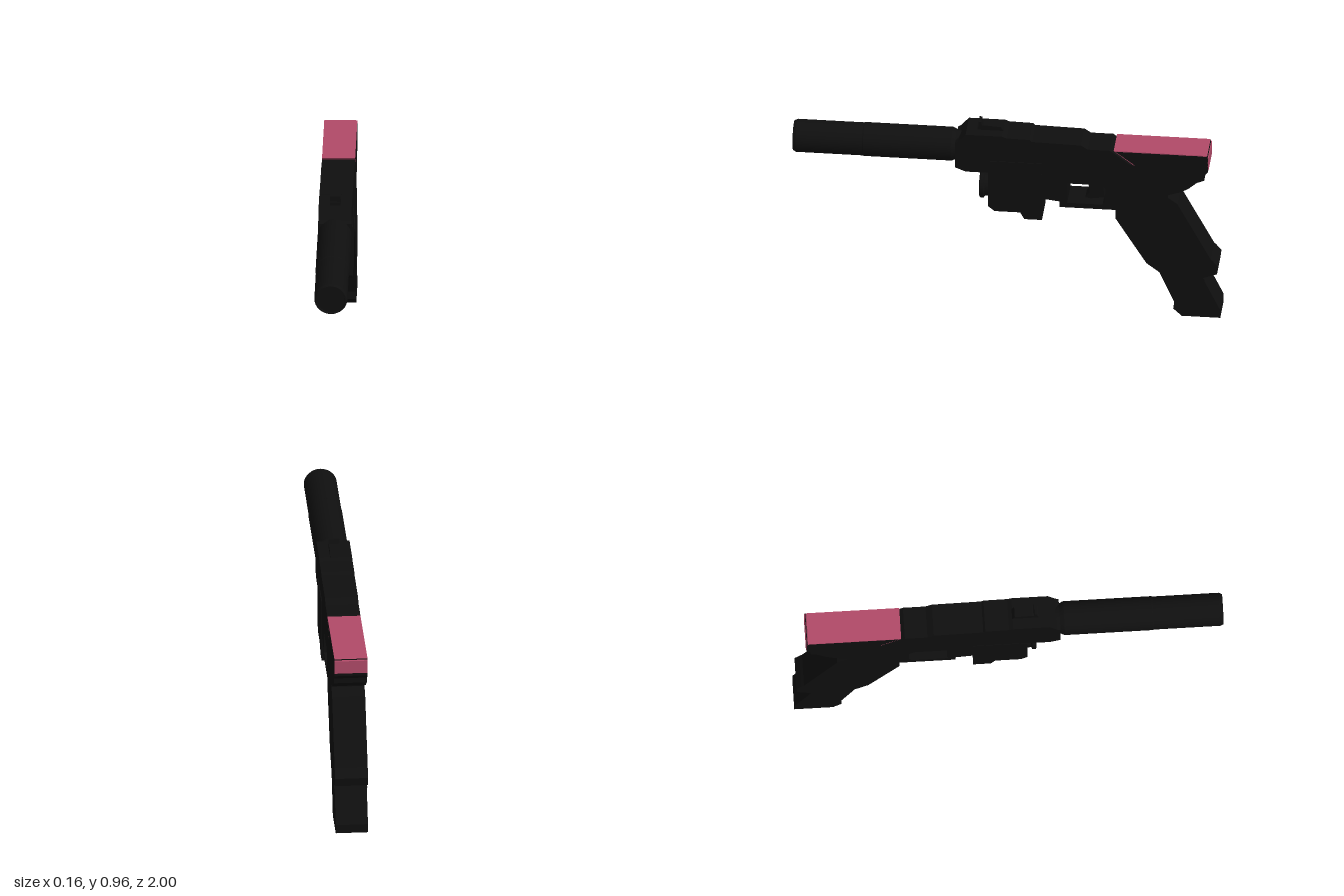
import * as THREE from 'three';

const black = new THREE.MeshStandardMaterial({ color: 0x0f0f0f, flatShading: true });
const smoothBlack = new THREE.MeshStandardMaterial({ color: 0x0f0f0f });
const pink = new THREE.MeshStandardMaterial({ color: 0xb04a68, flatShading: true });

// Side profile of [z, y] points, extruded across x
function slab(name, points, width, holes = [], material = black, x = 0) {
  const toVectors = (list) => list.map(([z, y]) => new THREE.Vector2(z, y));
  const shape = new THREE.Shape(toVectors(points));
  holes.forEach((hole) => shape.holes.push(new THREE.Path(toVectors(hole))));
  const geometry = new THREE.ExtrudeGeometry(shape, { depth: width, bevelEnabled: false });
  geometry.rotateY(-Math.PI / 2).translate(x + width / 2, 0, 0);
  const mesh = new THREE.Mesh(geometry, material);
  mesh.name = name;
  return mesh;
}

// Turned part along z from [radius, z] points; each span keeps crisp ends
function turned(name, profile, y, sides) {
  const group = new THREE.Group();
  group.name = name;
  for (let i = 0; i < profile.length - 1; i++) {
    const span = [profile[i], profile[i + 1]].map(([r, z]) => new THREE.Vector2(r, z));
    const geometry = new THREE.LatheGeometry(span, sides).rotateX(Math.PI / 2);
    const mesh = new THREE.Mesh(geometry, smoothBlack);
    mesh.name = name + 'Section';
    group.add(mesh);
  }
  group.position.y = y;
  return group;
}

export function createModel() {
  const model = new THREE.Group();
  const W = 0.154;

  // Receiver, with the slanted slot in the top and the trigger opening
  model.add(slab('receiver', [
    [0.24, 0.745], [0.24, 0.875], [0.225, 0.885], [0.19, 0.925], [0.02, 0.925], [0, 0.917],
    [-0.11, 0.915], [-0.12, 0.905], [-0.35, 0.9], [-0.38, 0.88], [-0.485, 0.88],
    [-0.58, 0.808], [-0.6, 0.808], [-0.51, 0.876], [-0.942, 0.876], [-0.942, 0.79],
    [-0.925, 0.77], [-0.925, 0.745], [-0.89, 0.73], [-0.85, 0.695], [-0.815, 0.675],
    [-0.755, 0.655], [-0.755, 0.64], [-0.7, 0.56], [-0.25, 0.56], [-0.25, 0.59],
    [-0.165, 0.6], [-0.165, 0.725], [0.19, 0.725],
  ], W, [[
    [-0.285, 0.585], [-0.285, 0.69], [-0.44, 0.69], [-0.465, 0.67], [-0.465, 0.6], [-0.45, 0.585],
  ]]));

  // Trigger
  model.add(slab('trigger', [
    [-0.365, 0.695], [-0.385, 0.65], [-0.385, 0.62], [-0.365, 0.595],
    [-0.39, 0.59], [-0.455, 0.6], [-0.45, 0.65], [-0.47, 0.695],
  ], 0.07));

  // Raked grip and the magazine that comes out of it
  model.add(slab('grip', [
    [-0.51, 0.57], [-0.51, 0.515], [-0.655, 0.28], [-0.715, 0.235], [-0.76, 0.2], [-0.93, 0.2],
    [-0.92, 0.215], [-0.985, 0.24], [-0.99, 0.28], [-0.965, 0.31], [-0.955, 0.32],
    [-0.8, 0.61], [-0.75, 0.645], [-0.7, 0.7], [-0.55, 0.7],
  ], W));
  model.add(slab('magazine', [
    [-0.715, 0.235], [-0.785, 0.075], [-0.78, 0.04], [-0.82, 0.003], [-1, 0.003],
    [-1, 0.045], [-0.925, 0.2], [-0.91, 0.24],
  ], 0.15));

  // Coloured strip over the slot face, the top and the back
  model.add(slab('rearStrip', [
    [-0.6, 0.808], [-0.594, 0.808], [-0.502, 0.88], [-0.935, 0.88], [-0.946, 0.868],
    [-0.946, 0.805], [-0.94, 0.805], [-0.94, 0.866], [-0.93, 0.875], [-0.512, 0.875],
  ], W, [], pink));

  // Block under the receiver and its lamp
  model.add(slab('lowerBlock', [
    [0.085, 0.73], [0.085, 0.545], [0.055, 0.52], [-0.065, 0.52], [-0.085, 0.485],
    [-0.167, 0.485], [-0.167, 0.73],
  ], 0.158));
  model.add(slab('blockSidePlate', [
    [0.08, 0.79], [0.08, 0.55], [-0.08, 0.52], [-0.165, 0.49], [-0.165, 0.79],
  ], 0.006, [], black, 0.077));
  model.add(turned('lamp', [
    [0.055, 0.07], [0.055, 0.105], [0.065, 0.11], [0.065, 0.125], [0.058, 0.13], [0, 0.128],
  ].reverse().map((p) => p).reverse(), 0.618, 20));

  // Sight on top
  model.add(slab('sightBase', [
    [0.14, 0.92], [0.14, 0.94], [0.11, 0.95], [0.03, 0.945], [0.015, 0.92],
  ], 0.05));
  model.add(slab('sightPost', [[0.135, 0.92], [0.135, 0.968], [0.122, 0.968], [0.115, 0.92]], 0.05));

  // Long round barrel
  model.add(turned('barrel', [
    [0.065, 0.2], [0.07, 0.24], [0.077, 0.255], [0.079, 0.26], [0.079, 0.67], [0.077, 0.675],
    [0.077, 0.985], [0.07, 1], [0.066, 1], [0.064, 0.992], [0, 0.992],
  ], 0.826, 32));

  // Lathe sections are viewed from both sides at the rim
  smoothBlack.side = THREE.DoubleSide;
  return model;
}
